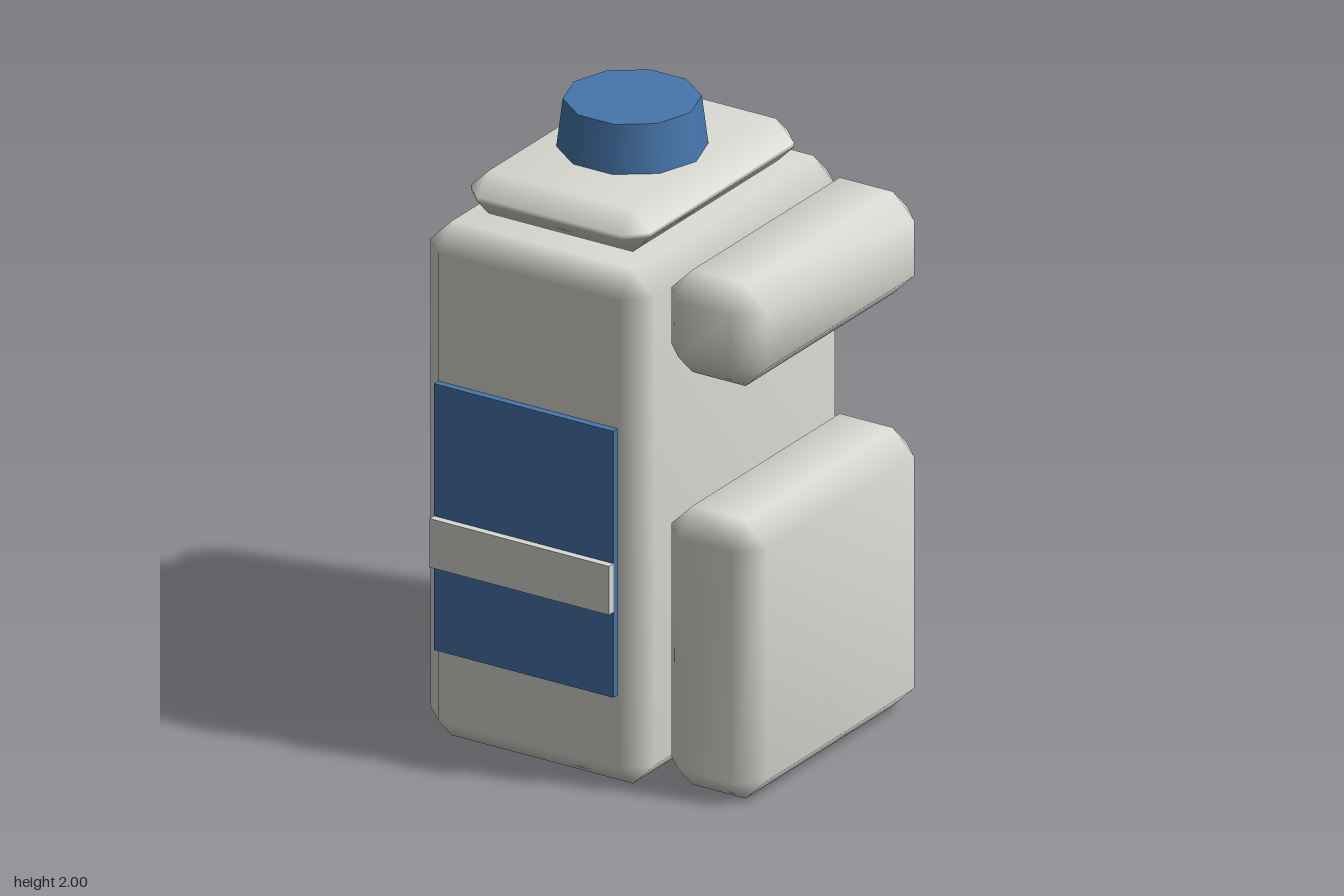
import * as THREE from 'three';

// Box between two corners with every edge cut by one chamfer and smooth shared normals
function chamferBox(min, max, cut) {
  const positions = [], index = [];
  const signs = [-1, 1];
  const id = (s, axis) => ((s[0] > 0 ? 4 : 0) + (s[1] > 0 ? 2 : 0) + (s[2] > 0 ? 1 : 0)) * 3 + axis;
  for (const x of signs) for (const y of signs) for (const z of signs) {
    const s = [x, y, z];
    for (let axis = 0; axis < 3; axis++) {
      for (let i = 0; i < 3; i++) {
        const inset = i === axis ? 0 : cut;
        positions.push(s[i] > 0 ? max[i] - inset : min[i] + inset);
      }
    }
    // corner triangle
    const tri = [id(s, 0), id(s, 1), id(s, 2)];
    index.push(...(x * y * z > 0 ? tri : tri.reverse()));
  }
  const quad = (q, flip) => {
    if (flip) q.reverse();
    index.push(q[0], q[1], q[2], q[0], q[2], q[3]);
  };
  for (let a = 0; a < 3; a++) {
    const b = (a + 1) % 3, c = (a + 2) % 3;
    const v = (sa, sb, sc, axis) => {
      const s = [];
      s[a] = sa; s[b] = sb; s[c] = sc;
      return id(s, axis);
    };
    for (const sa of signs) {
      // flat side
      quad([v(sa, -1, -1, a), v(sa, 1, -1, a), v(sa, 1, 1, a), v(sa, -1, 1, a)], sa < 0);
      // chamfer strips
      for (const sb of signs) {
        quad([v(sa, sb, -1, a), v(sa, sb, -1, b), v(sa, sb, 1, b), v(sa, sb, 1, a)], sa * sb < 0);
      }
    }
  }
  const geometry = new THREE.BufferGeometry();
  geometry.setAttribute('position', new THREE.Float32BufferAttribute(positions, 3));
  geometry.setIndex(index);
  geometry.computeVertexNormals();
  return geometry;
}

// Plain box between two corners
function plainBox(min, max) {
  const g = new THREE.BoxGeometry(max[0] - min[0], max[1] - min[1], max[2] - min[2]);
  return g.translate((min[0] + max[0]) / 2, (min[1] + max[1]) / 2, (min[2] + max[2]) / 2);
}

export function createModel() {
  const model = new THREE.Group();
  model.name = 'bottle';
  const shell = new THREE.MeshStandardMaterial({ color: 0xd9dad3 });
  shell.name = 'pale grey plastic';
  const blue = new THREE.MeshStandardMaterial({ color: 0x4676ac });
  blue.name = 'blue';

  const add = (name, geometry, material) => {
    const mesh = new THREE.Mesh(geometry, material);
    mesh.name = name;
    model.add(mesh);
  };

  // Main container and shoulder
  add('body', chamferBox([-0.575, 0, -0.6], [0.23, 1.7, 0.552], 0.077), shell);
  add('shoulder', chamferBox([-0.497, 1.7, -0.487], [0.148, 1.843, 0.435], 0.064), shell);

  // Side blocks with the grip gap between them
  add('handleTop', chamferBox([0.23, 1.363, -0.508], [0.575, 1.7, 0.46], 0.077), shell);
  add('handleBase', chamferBox([0.23, 0, -0.508], [0.575, 0.92, 0.46], 0.077), shell);

  // Tapered ten-sided cap
  const cap = new THREE.CylinderGeometry(0.21, 0.23, 0.16, 10);
  cap.rotateY(Math.PI / 2).translate(-0.175, 1.92, -0.025);
  add('cap', cap, blue);

  // Front label and its raised band
  add('label', plainBox([-0.497, 0.32, 0.545], [0.148, 1.2, 0.576]), blue);
  add('labelBand', plainBox([-0.497, 0.602, 0.57], [0.148, 0.763, 0.6]), shell);

  return model;
}
